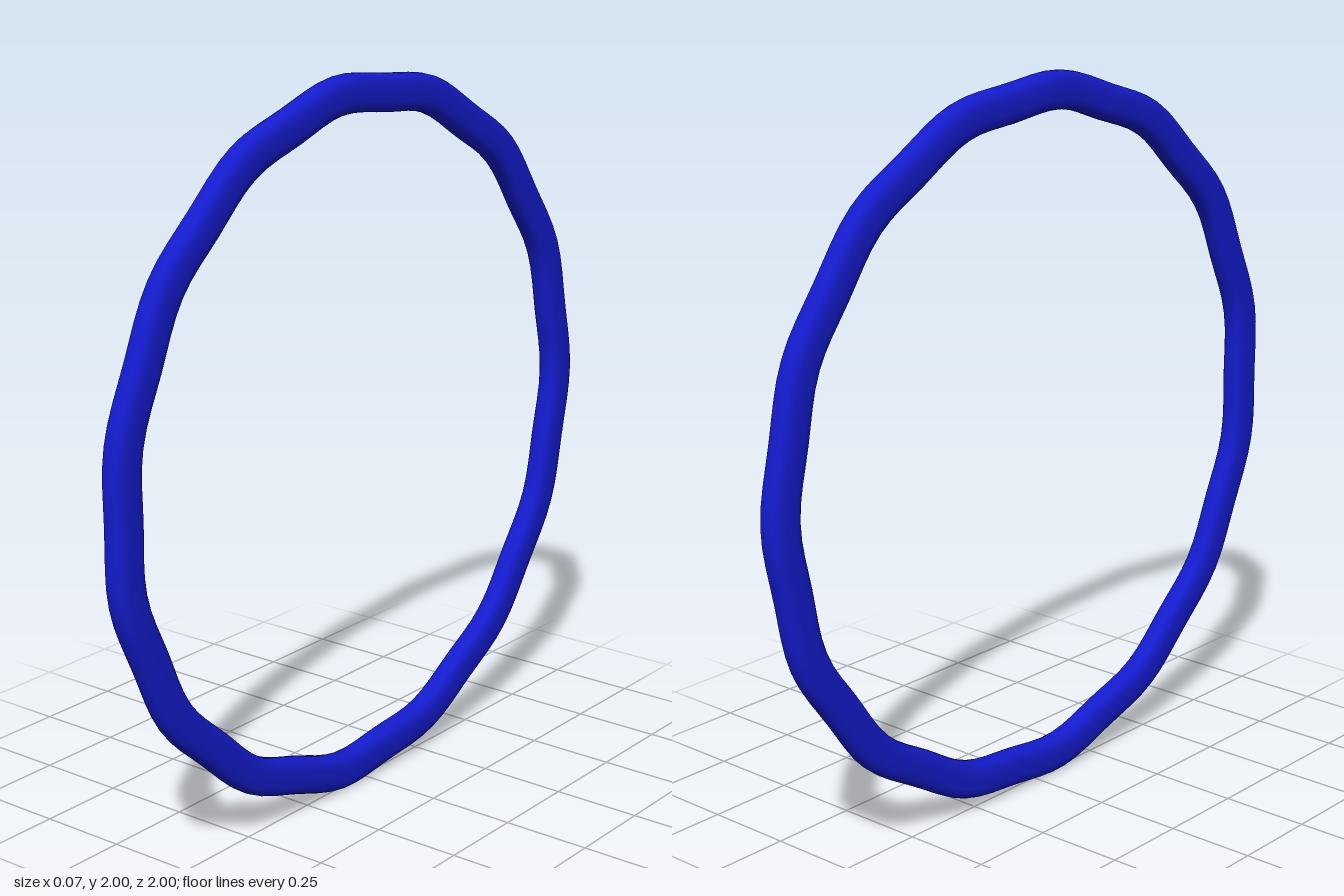
import * as THREE from 'three';
import { mergeVertices } from 'three/addons/utils/BufferGeometryUtils.js';

const LOBES = 15;        // soft corners around the ring
const RADIUS = 0.945;    // centre line
const HALF_WIDTH = 0.035;
const HALF_DEPTH = 0.052;
const WAVE = 0.007;

const soften = (v, power) => Math.sign(v) * Math.pow(Math.abs(v), power);

export function createModel() {
  const group = new THREE.Group();
  group.name = 'ring';

  // A torus supplies the grid; each vertex is moved to a rounded-box section
  // on a softly cornered circle.
  const across = 24, around = LOBES * 8;
  const geometry = new THREE.TorusGeometry(1, 0.1, across, around);
  const pos = geometry.attributes.position;
  const uv = geometry.attributes.uv;
  for (let i = 0; i < pos.count; i++) {
    const a = uv.getX(i) * Math.PI * 2;
    const s = uv.getY(i) * Math.PI * 2;
    const r = RADIUS + WAVE * Math.cos(LOBES * a) + HALF_DEPTH * soften(Math.cos(s), 0.7);
    pos.setXYZ(i, r * Math.cos(a), r * Math.sin(a), HALF_WIDTH * soften(Math.sin(s), 0.7));
  }

  // Weld the seams so the normals run smoothly all round
  geometry.deleteAttribute('uv');
  geometry.deleteAttribute('normal');
  const welded = mergeVertices(geometry, 1e-5);
  welded.computeVertexNormals();

  // Stand the ring in the y-z plane, one corner pointing to the back
  welded.rotateY(Math.PI / 2);
  welded.translate(0, 1, WAVE);

  const band = new THREE.Mesh(welded, new THREE.MeshStandardMaterial({ color: 0x141bcc }));
  band.name = 'band';
  group.add(band);
  return group;
}
